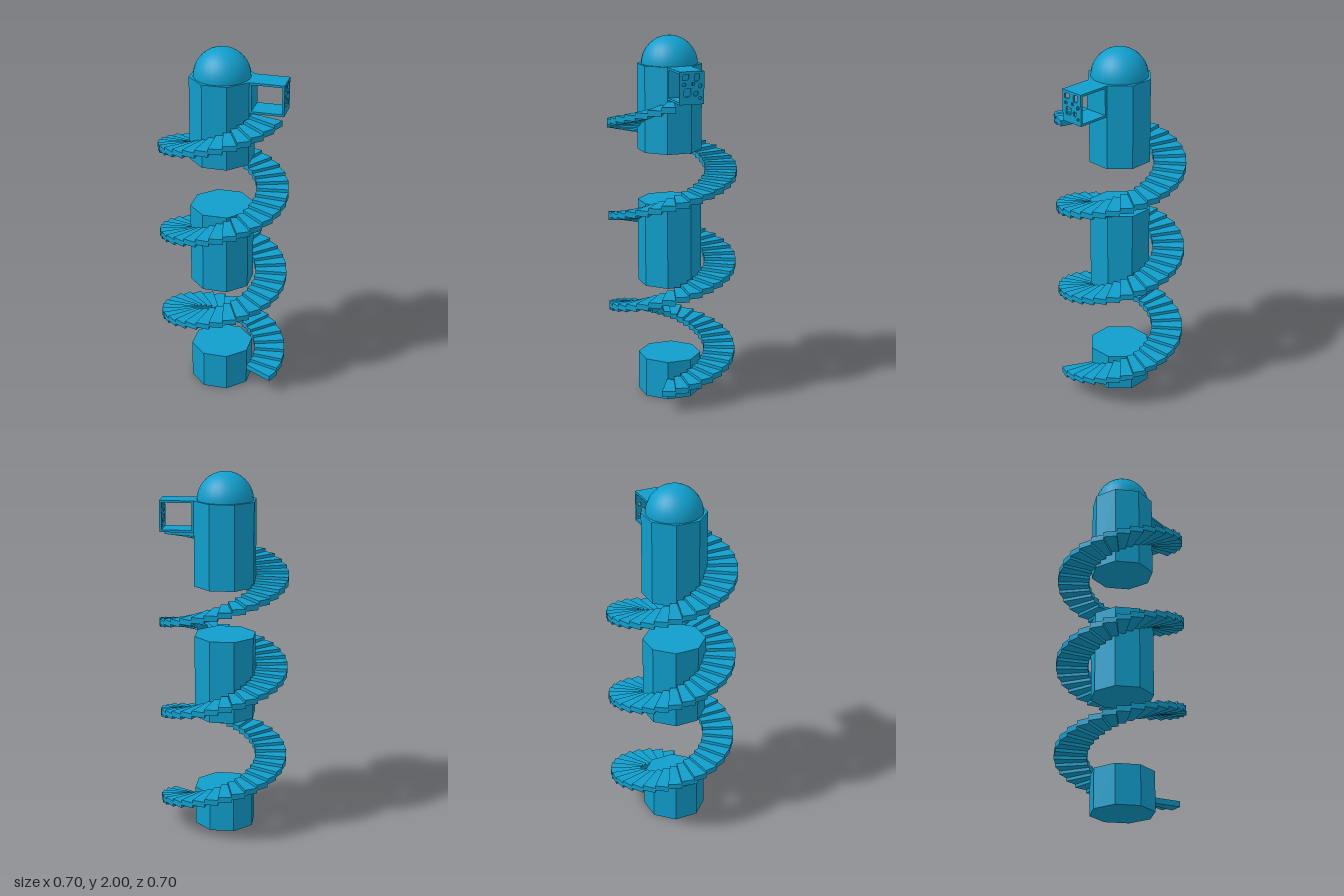
import * as THREE from 'three';

export function createModel() {
  const model = new THREE.Group();
  const flat = new THREE.MeshStandardMaterial({ color: 0x109ecc, flatShading: true });
  const smooth = new THREE.MeshStandardMaterial({ color: 0x109ecc });
  const columnZ = 0.015, columnR = 0.174;

  const add = (parent, name, geometry, x = 0, y = 0, z = 0, material = flat) => {
    const mesh = new THREE.Mesh(geometry, material);
    mesh.name = name;
    mesh.position.set(x, y, z);
    parent.add(mesh);
    return mesh;
  };

  // Octagonal column in three separate sections
  const sections = [['columnBase', 0, 0.218], ['columnMiddle', 0.645, 1.107], ['columnTop', 1.387, 1.85]];
  for (const [name, low, high] of sections) {
    add(model, name, new THREE.CylinderGeometry(columnR, columnR, high - low, 8), 0, (low + high) / 2, columnZ);
  }

  // Domed roof
  const domeR = 0.152;
  add(model, 'dome', new THREE.SphereGeometry(domeR, 24, 10, 0, Math.PI * 2, 0, Math.PI / 2), 0, 2 - domeR, columnZ, smooth);

  // Spiral staircase: three turns of thirty wedge treads, plus a landing tread
  const perTurn = 30, rise = 0.0172, thickness = 0.031;
  const inner = 0.178, outer = 0.352, half = Math.PI / perTurn;
  const c = Math.cos(half), s = Math.sin(half);
  const wedge = new THREE.Shape([
    new THREE.Vector2(inner * c, -inner * s),
    new THREE.Vector2(outer * c, -outer * s),
    new THREE.Vector2(outer * c, outer * s),
    new THREE.Vector2(inner * c, inner * s),
  ]);
  const tread = new THREE.ExtrudeGeometry(wedge, { depth: thickness, bevelEnabled: false });
  tread.rotateX(-Math.PI / 2);
  const stairs = new THREE.Group();
  stairs.name = 'spiralStairs';
  for (let i = 0; i <= perTurn * 3; i++) {
    add(stairs, 'tread', tread, 0, 0.09 + i * rise, 0).rotation.y = i * 2 * half;
  }
  model.add(stairs);

  // Entrance porch on one column face, open on both sides (local x points outward)
  const porch = new THREE.Group();
  porch.name = 'porch';
  porch.position.set(0, 1.68, columnZ);
  porch.rotation.y = Math.PI / 8;
  const start = columnR * Math.cos(Math.PI / 8), depth = 0.185, height = 0.17, wall = 0.012;
  const width = 2 * columnR * Math.sin(Math.PI / 8);
  const slab = new THREE.BoxGeometry(depth - wall, wall, width);
  const midX = start + (depth - wall) / 2;
  add(porch, 'porchFloor', slab, midX, wall / 2);
  add(porch, 'porchRoof', slab, midX, height - wall / 2);
  add(porch, 'porchInnerWall', new THREE.BoxGeometry(wall, height - 2 * wall, width), start + wall / 2, height / 2);

  // Outer porch wall pierced by irregular openings: centre, half width, half height
  const panel = new THREE.Shape([
    new THREE.Vector2(-width / 2, 0), new THREE.Vector2(width / 2, 0),
    new THREE.Vector2(width / 2, height), new THREE.Vector2(-width / 2, height),
  ]);
  const openings = [
    [-0.034, 0.141, 0.017, 0.014], [0.027, 0.139, 0.014, 0.019], [-0.024, 0.062, 0.019, 0.021],
    [0.022, 0.056, 0.011, 0.012], [0.006, 0.106, 0.008, 0.008], [0.045, 0.094, 0.008, 0.01],
    [-0.042, 0.103, 0.009, 0.008], [0.046, 0.032, 0.007, 0.007],
  ];
  for (const [x, y, w, h] of openings) {
    const k = 0.55; // chamfer of two opposite corners
    panel.holes.push(new THREE.Path([
      new THREE.Vector2(x - w, y - h), new THREE.Vector2(x - w, y + h * k),
      new THREE.Vector2(x - w * k, y + h), new THREE.Vector2(x + w, y + h),
      new THREE.Vector2(x + w, y - h * k), new THREE.Vector2(x + w * k, y - h),
    ]));
  }
  const panelGeometry = new THREE.ExtrudeGeometry(panel, { depth: wall, bevelEnabled: false });
  panelGeometry.rotateY(Math.PI / 2);
  add(porch, 'porchPiercedWall', panelGeometry, start + depth - wall);
  model.add(porch);

  return model;
}
